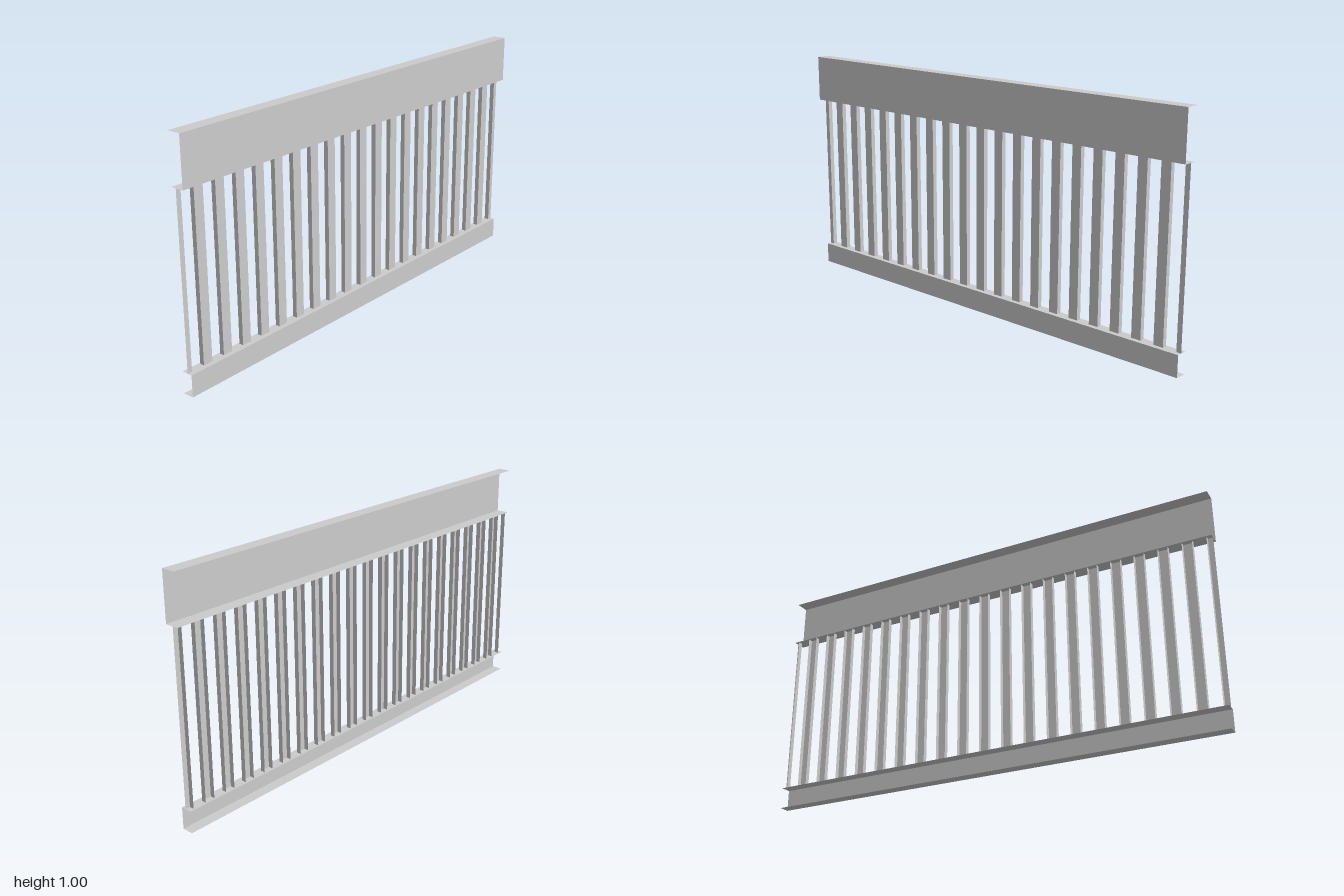
import * as THREE from 'three';

const material = new THREE.MeshStandardMaterial({
  color: 0xcccccc, flatShading: true, side: THREE.DoubleSide,
});

// One thin flat sheet, turned to face along its axis
function sheet(parent, name, w, h, x, y, z, rx = 0, ry = 0) {
  const mesh = new THREE.Mesh(new THREE.PlaneGeometry(w, h), material);
  mesh.name = name;
  mesh.position.set(x, y, z);
  mesh.rotation.set(rx, ry, 0);
  parent.add(mesh);
}

// Horizontal channel: front web with two flanges running back
function rail(name, y0, y1, zFront, zBack) {
  const g = new THREE.Group();
  g.name = name;
  const depth = zFront - zBack, zMid = (zFront + zBack) / 2;
  sheet(g, 'railWeb', 2, y1 - y0, 0, (y0 + y1) / 2, zFront);
  sheet(g, 'railTopFlange', 2, depth, 0, y1, zMid, -Math.PI / 2);
  sheet(g, 'railBottomFlange', 2, depth, 0, y0, zMid, Math.PI / 2);
  return g;
}

// Vertical channel open to the back, with a flange at each listed x
function baluster(name, x0, x1, flanges) {
  const g = new THREE.Group();
  g.name = name;
  const y0 = 0.09, y1 = 0.8, zFront = -0.004, zBack = -0.024;
  const h = y1 - y0, yMid = (y0 + y1) / 2;
  sheet(g, 'balusterWeb', x1 - x0, h, (x0 + x1) / 2, yMid, zFront);
  for (const x of flanges) {
    sheet(g, 'balusterFlange', zFront - zBack, h, x, yMid, (zFront + zBack) / 2, 0, Math.PI / 2);
  }
  return g;
}

export function createModel() {
  const model = new THREE.Group();
  model.name = 'railing';

  model.add(rail('topRail', 0.8, 1, 0.031, -0.027));
  model.add(rail('bottomRail', 0, 0.09, 0.016, -0.031));

  // Full balusters between the ends
  const half = 0.021;
  for (let i = -9; i <= 9; i++) {
    const x = i * 0.1;
    model.add(baluster('baluster', x - half, x + half, [x - half, x + half]));
  }

  // Half balusters cut off at both ends
  const inner = 1 - half;
  model.add(baluster('leftEndBaluster', inner, 1, [inner]));
  model.add(baluster('rightEndBaluster', -1, -inner, [-inner]));

  return model;
}
